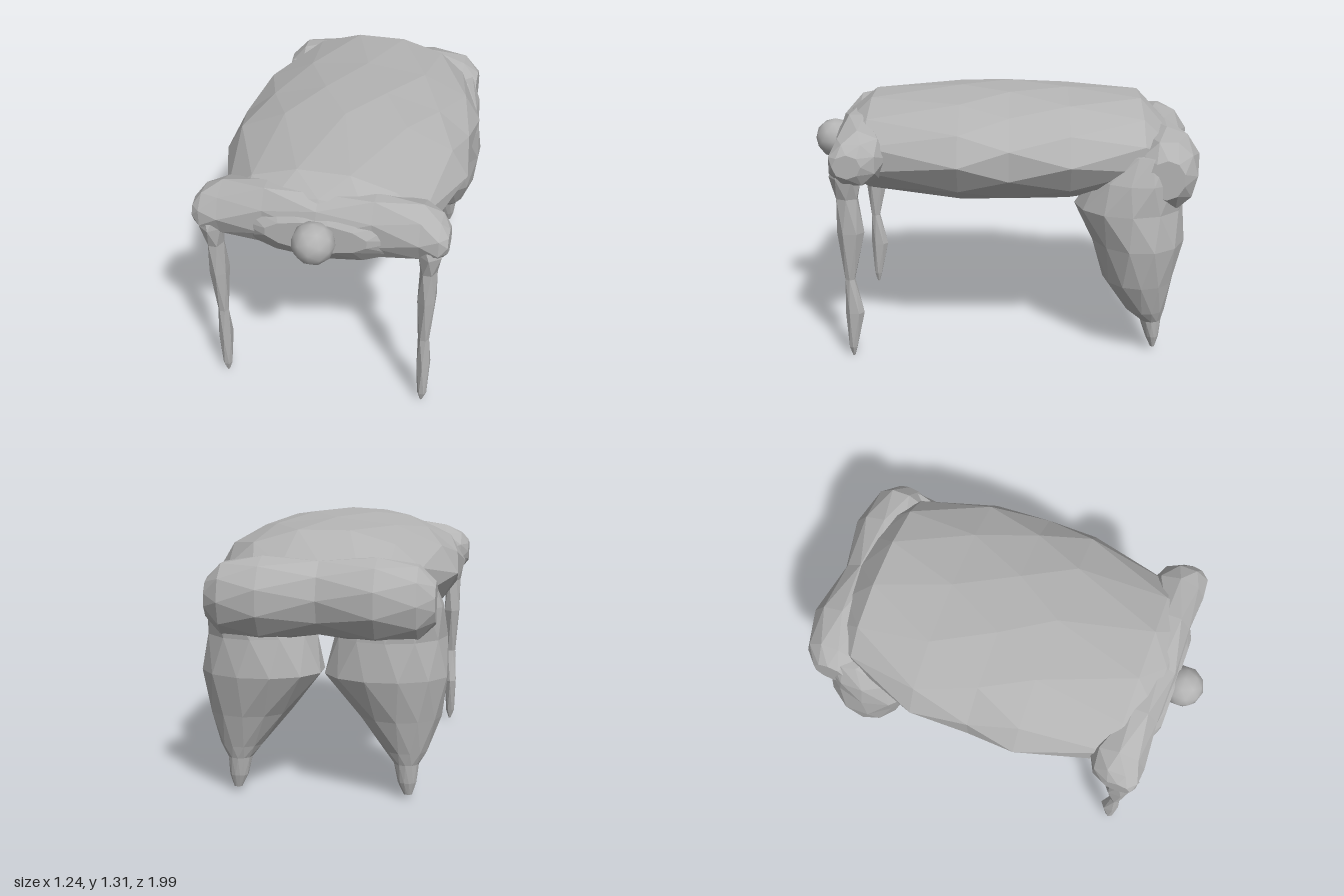
import * as THREE from 'three';

// Faceted skin through elliptical rings. Each section is [position along axis, cu, cv, ru, rv];
// every other ring is turned half a step so the skin breaks into triangles.
const AXES = {
  x: (t, u, v) => [t, u, v], // u = y, v = z
  y: (t, u, v) => [v, t, u], // u = z, v = x
  z: (t, u, v) => [u, v, t], // u = x, v = y
};

function loft(axis, sections, sides) {
  const place = AXES[axis];
  const rings = sections.map(([t, cu, cv, ru, rv], k) =>
    Array.from({ length: sides }, (_, i) => {
      const a = ((i + (k % 2) / 2) / sides) * Math.PI * 2;
      return place(t, cu + ru * Math.cos(a), cv + rv * Math.sin(a));
    }));
  const pos = [];
  const tri = (a, b, c) => pos.push(...a, ...b, ...c);
  const last = rings.length - 1;
  const centre = (k) => place(...sections[k].slice(0, 3));
  for (let i = 0; i < sides; i++) {
    const j = (i + 1) % sides;
    for (let k = 0; k < last; k++) {
      const lo = rings[k], hi = rings[k + 1];
      if (k % 2 === 0) {
        tri(lo[i], lo[j], hi[i]);
        tri(lo[j], hi[j], hi[i]);
      } else {
        tri(lo[i], lo[j], hi[j]);
        tri(lo[i], hi[j], hi[i]);
      }
    }
    tri(centre(0), rings[0][j], rings[0][i]);
    tri(centre(last), rings[last][i], rings[last][j]);
  }
  const g = new THREE.BufferGeometry();
  g.setAttribute('position', new THREE.Float32BufferAttribute(pos, 3));
  g.computeVertexNormals(); // unshared corners give flat facets
  return g;
}

// Complete a bar whose right half (x <= 0) is given
const mirrorBar = (half) => [
  ...half,
  ...half.slice(0, -1).reverse().map(([x, ...rest]) => [-x, ...rest]),
];

export function createModel() {
  const model = new THREE.Group();
  const grey = new THREE.MeshStandardMaterial({ color: 0xb4b4b4 });
  grey.name = 'plain grey';
  const add = (name, geometry) => {
    const mesh = new THREE.Mesh(geometry, grey);
    mesh.name = name;
    model.add(mesh);
    return mesh;
  };

  // Barrel-shaped torso: z, half width, top, bottom
  const torso = [
    [-0.84, 0.36, 1.14, 0.9],
    [-0.7, 0.48, 1.285, 0.8],
    [-0.33, 0.61, 1.31, 0.765],
    [-0.03, 0.61, 1.325, 0.75],
    [0.22, 0.62, 1.32, 0.755],
    [0.68, 0.49, 1.285, 0.795],
    [0.79, 0.42, 1.2, 0.86],
    [0.86, 0.25, 1.11, 0.95],
  ].map(([z, w, top, bottom]) => [z, 0, (top + bottom) / 2, w, (top - bottom) / 2]);
  add('torso', loft('z', torso, 12));

  // Shoulder bar across the front
  add('shoulders', loft('x', mirrorBar([
    [-0.61, 1.04, 0.75, 0.06, 0.07],
    [-0.57, 1.04, 0.73, 0.11, 0.12],
    [-0.48, 1.05, 0.71, 0.14, 0.14],
    [-0.26, 1.06, 0.74, 0.17, 0.1],
    [0, 1.05, 0.76, 0.16, 0.11],
  ]), 8));

  // Rounded rump across the back
  add('rump', loft('x', mirrorBar([
    [-0.54, 0.96, -0.8, 0.1, 0.09],
    [-0.46, 0.96, -0.81, 0.18, 0.15],
    [-0.27, 0.965, -0.82, 0.2, 0.18],
    [0, 0.975, -0.79, 0.18, 0.16],
  ]), 10));

  // Round head on a stub of neck
  add('neck', loft('z', [
    [0.8, 0, 1.03, 0.09, 0.09],
    [0.88, 0, 1.03, 0.075, 0.075],
  ], 8));
  add('head', new THREE.IcosahedronGeometry(0.105, 1)).position.set(0, 1.03, 0.895);

  for (const [side, s] of [['left', 1], ['right', -1]]) {
    // Thin jointed front leg: y, z, x, half depth, half width
    add(side + 'FrontLeg', loft('y', [
      [0.01, 0.765, 0.513, 0.006, 0.006],
      [0.06, 0.765, 0.515, 0.022, 0.024],
      [0.25, 0.75, 0.515, 0.048, 0.036],
      [0.43, 0.768, 0.512, 0.026, 0.028],
      [0.68, 0.755, 0.518, 0.068, 0.048],
      [0.86, 0.765, 0.522, 0.058, 0.042],
      [0.97, 0.77, 0.53, 0.08, 0.062],
      [1.08, 0.74, 0.52, 0.08, 0.07],
    ].map(([y, z, x, d, w]) => [y, z, x * s, d, w]), 6));

    // Heavy tapering hind leg
    add(side + 'HindLeg', loft('y', [
      [0.03, -0.775, 0.415, 0.012, 0.02],
      [0.09, -0.77, 0.41, 0.035, 0.045],
      [0.18, -0.76, 0.405, 0.055, 0.06],
      [0.24, -0.73, 0.4, 0.1, 0.105],
      [0.4, -0.69, 0.365, 0.18, 0.2],
      [0.6, -0.685, 0.3, 0.24, 0.3],
      [0.78, -0.635, 0.315, 0.275, 0.27],
      [0.93, -0.68, 0.36, 0.22, 0.21],
      [1.06, -0.73, 0.38, 0.13, 0.14],
    ].map(([y, z, x, d, w]) => [y, z, x * s, d, w]), 12));
  }
  return model;
}
